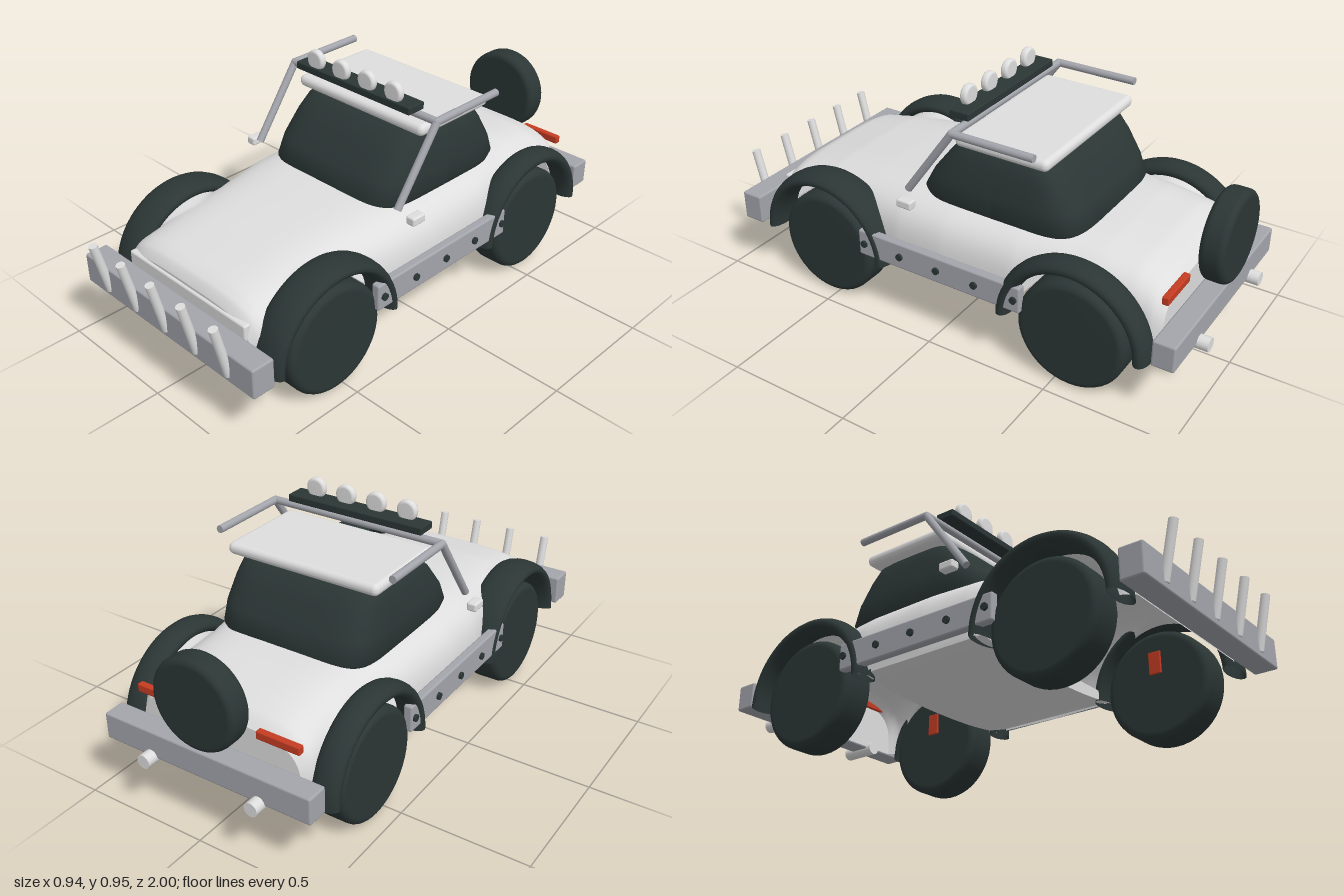
import * as THREE from 'three';
import { RoundedBoxGeometry } from 'three/addons/geometries/RoundedBoxGeometry.js';

const mat = (name, color, side = THREE.FrontSide) => {
  const m = new THREE.MeshStandardMaterial({ color, side });
  m.name = name;
  return m;
};

// Straight-line lookup in a list of [position, value] pairs, position rising
function lerpTable(table, p) {
  let i = 1;
  while (i < table.length - 1 && p > table[i][0]) i++;
  const [p0, v0] = table[i - 1], [p1, v1] = table[i];
  return THREE.MathUtils.lerp(v0, v1, THREE.MathUtils.clamp((p - p0) / (p1 - p0), 0, 1));
}

// Skin over rows of points, all rows equally long
function loft(rows) {
  const n = rows[0].length, pos = [], idx = [];
  rows.forEach((r) => r.forEach((p) => pos.push(...p)));
  for (let i = 0; i < rows.length - 1; i++) {
    for (let j = 0; j < n - 1; j++) {
      const a = i * n + j, b = a + n;
      idx.push(a, b, a + 1, a + 1, b, b + 1);
    }
  }
  const g = new THREE.BufferGeometry();
  g.setAttribute('position', new THREE.Float32BufferAttribute(pos, 3));
  g.setIndex(idx);
  g.computeVertexNormals();
  return g;
}

const spow = (v, e) => Math.sign(v) * Math.pow(Math.abs(v), e);

const AXLES = [0.535, -0.56];
const HALF_WIDTH = [[-0.865, 0.34], [-0.83, 0.365], [-0.5, 0.38], [-0.3, 0.415], [0, 0.425],
  [0.2, 0.415], [0.4, 0.385], [0.8, 0.365], [0.835, 0.335]];
const TOP = [[-0.865, 0.44], [-0.83, 0.475], [-0.75, 0.505], [-0.6, 0.525], [-0.4, 0.535], [0, 0.535],
  [0.2, 0.53], [0.4, 0.512], [0.6, 0.487], [0.78, 0.447], [0.82, 0.425], [0.835, 0.395]];

// Body shell, open below, its lower edge rising over the wheel arches
function hullGeometry() {
  const rows = [], z0 = -0.865, z1 = 0.835, steps = 110, segs = 48;
  for (let i = 0; i <= steps; i++) {
    const z = z0 + (z1 - z0) * i / steps;
    let low = 0.24;
    for (const c of AXLES) {
      const d = 0.25 * 0.25 - (z - c) ** 2;
      if (d > 0) low = Math.max(low, 0.22 + Math.sqrt(d));
    }
    const w = lerpTable(HALF_WIDTH, z), t = lerpTable(TOP, z), row = [];
    for (let j = 0; j <= segs; j++) {
      const a = Math.PI * j / segs;
      const y = 0.23 + (t - 0.23) * Math.sqrt(Math.max(0, Math.sin(a)));
      row.push([w * spow(Math.cos(a), 0.5), Math.max(low, y), z]);
    }
    rows.push(row);
  }
  // nose and tail panels
  const close = (row) => row.map(([x, , z]) => [x * 0.9, 0.24, z]);
  const first = rows[0], last = rows[rows.length - 1];
  return [loft(rows.slice().reverse()), loft([first, close(first)]), loft([close(last), last])];
}

// Dark glass cabin: rounded plan outlines stacked upwards
function cabinGeometry() {
  const levels = [[0.45, 0.15, -0.48, 0.3], [0.53, 0.185, -0.515, 0.325], [0.6, 0.145, -0.485, 0.325],
    [0.69, 0.075, -0.435, 0.307], [0.74, 0.025, -0.4, 0.292], [0.765, -0.02, -0.36, 0.265]];
  const ring = ([y, zf, zr, w], k = 1) => Array.from({ length: 65 }, (_, j) => {
    const a = -2 * Math.PI * j / 64;
    return [k * w * spow(Math.cos(a), 0.36), y, (zf + zr) / 2 + k * (zf - zr) / 2 * spow(Math.sin(a), 0.36)];
  });
  const rows = [ring(levels[0], 0), ...levels.map((l) => ring(l)), ring(levels[5], 0)];
  return loft(rows);
}

// Round tyre with softened shoulders, axis along y
function tyreGeometry(radius, width, bevel) {
  const pts = [[0, -width / 2], [radius - bevel, -width / 2]];
  for (let i = 1; i <= 5; i++) {
    const a = Math.PI / 2 * i / 5;
    pts.push([radius - bevel + bevel * Math.sin(a), -width / 2 + bevel * (1 - Math.cos(a))]);
  }
  const upper = pts.slice().reverse().map(([r, y]) => [r, -y]);
  return new THREE.LatheGeometry([...pts, ...upper].map(([r, y]) => new THREE.Vector2(r, y)), 48);
}

export function createModel() {
  const white = mat('white paint', 0xdedede, THREE.DoubleSide);
  const dark = mat('dark rubber and glass', 0x2b3635, THREE.DoubleSide);
  const steel = mat('steel', 0xa3a5ac);
  const red = mat('red lamp', 0xc53c22);

  const model = new THREE.Group();
  const add = (name, geo, m, x = 0, y = 0, z = 0) => {
    const mesh = new THREE.Mesh(geo, m);
    mesh.name = name;
    mesh.position.set(x, y, z);
    model.add(mesh);
    return mesh;
  };
  const box = (name, m, w, h, d, x, y, z, r = 0.008) =>
    add(name, new RoundedBoxGeometry(w, h, d, 3, r), m, x, y, z);
  const rod = (name, m, r, from, to) => {
    const a = new THREE.Vector3(...from), b = new THREE.Vector3(...to), d = b.clone().sub(a);
    const mesh = add(name, new THREE.CylinderGeometry(r, r, d.length(), 16), m);
    mesh.position.copy(a).add(b).multiplyScalar(0.5);
    mesh.quaternion.setFromUnitVectors(new THREE.Vector3(0, 1, 0), d.normalize());
    return mesh;
  };

  // Body, belly, cabin and roof
  ['hull', 'tailPanel', 'nosePanel'].forEach((name, i) => add(name, hullGeometry()[i], white));
  const belly = new THREE.Shape();
  belly.moveTo(-0.4, 0.26);
  belly.lineTo(-0.4, 0.24);
  belly.bezierCurveTo(-0.25, 0.195, 0.25, 0.195, 0.4, 0.24);
  belly.lineTo(0.4, 0.26);
  add('belly', new THREE.ExtrudeGeometry(belly, { depth: 0.56, bevelEnabled: false, curveSegments: 24 }),
    white, 0, 0, -0.29);
  box('grille', white, 0.64, 0.12, 0.03, 0, 0.325, 0.83);
  add('cabin', cabinGeometry(), dark);
  box('roof', white, 0.645, 0.047, 0.385, 0, 0.78, -0.2, 0.022);

  // Bumpers, guard bars, spare wheel
  box('frontBumper', steel, 0.94, 0.12, 0.092, 0, 0.285, 0.895);
  box('rearBumper', steel, 0.88, 0.105, 0.086, 0, 0.287, -0.915);
  for (let i = -2; i <= 2; i++) {
    rod('guardBar', white, 0.017, [i * 0.1675, 0.25, 0.932], [i * 0.1675, 0.462, 0.981]);
  }
  const spare = add('spareWheel', tyreGeometry(0.173, 0.095, 0.025), dark, 0, 0.538, -0.94);
  spare.rotation.x = Math.PI / 2;

  // Parts on both sides
  const tyre = tyreGeometry(0.215, 0.14, 0.028);
  for (const s of [1, -1]) {
    AXLES.forEach((z, i) => {
      const wheel = add('wheel', tyre, dark, s * 0.37, 0.217, z);
      wheel.rotation.z = Math.PI / 2;
      box('brakePad', red, 0.012, 0.09, 0.05, s * 0.298, 0.3, z, 0.003);
      // front fenders reach further into the hood
      const half = i === 0 ? 0.075 : 0.055;
      const arch = new THREE.TorusGeometry(0.273, 0.03, 16, 40, Math.PI);
      arch.scale(1, 1, half / 0.03);
      arch.rotateY(Math.PI / 2);
      add('fender', arch, dark, s * (0.465 - half), 0.22, z);
    });

    box('sill', steel, 0.035, 0.108, 0.72, s * 0.44, 0.305, -0.01);
    for (let i = -2; i <= 2; i++) {
      const z = -0.013 + i * 0.167;
      rod('bolt', dark, 0.014, [s * 0.44, 0.305, z], [s * 0.467, 0.305, z]);
    }
    box('mirror', white, 0.04, 0.034, 0.065, s * 0.43, 0.533, 0.133);
    box('tailLight', red, 0.175, 0.032, 0.026, s * 0.258, 0.435, -0.867, 0.005);
    rod('exhaust', white, 0.027, [s * 0.232, 0.237, -0.85], [s * 0.232, 0.237, -1]);

    // Side of the roll cage
    rod('cagePost', steel, 0.015, [s * 0.37, 0.555, 0.165], [s * 0.37, 0.835, -0.035]);
    rod('cageRail', steel, 0.015, [s * 0.37, 0.835, -0.03], [s * 0.37, 0.835, -0.37]);
    add('cageJoint', new THREE.SphereGeometry(0.015, 16, 12), steel, s * 0.37, 0.835, -0.034);
  }
  rod('cageCrossbar', steel, 0.015, [-0.37, 0.835, -0.034], [0.37, 0.835, -0.034]);

  // Roof lights
  box('lightBar', dark, 0.585, 0.03, 0.082, 0, 0.867, -0.012, 0.005);
  const lamp = tyreGeometry(0.041, 0.03, 0.011);
  for (let i = 0; i < 4; i++) {
    add('roofLight', lamp, white, -0.2 + i * 0.1333, 0.909, 0.007).rotation.x = Math.PI / 2;
  }
  return model;
}
